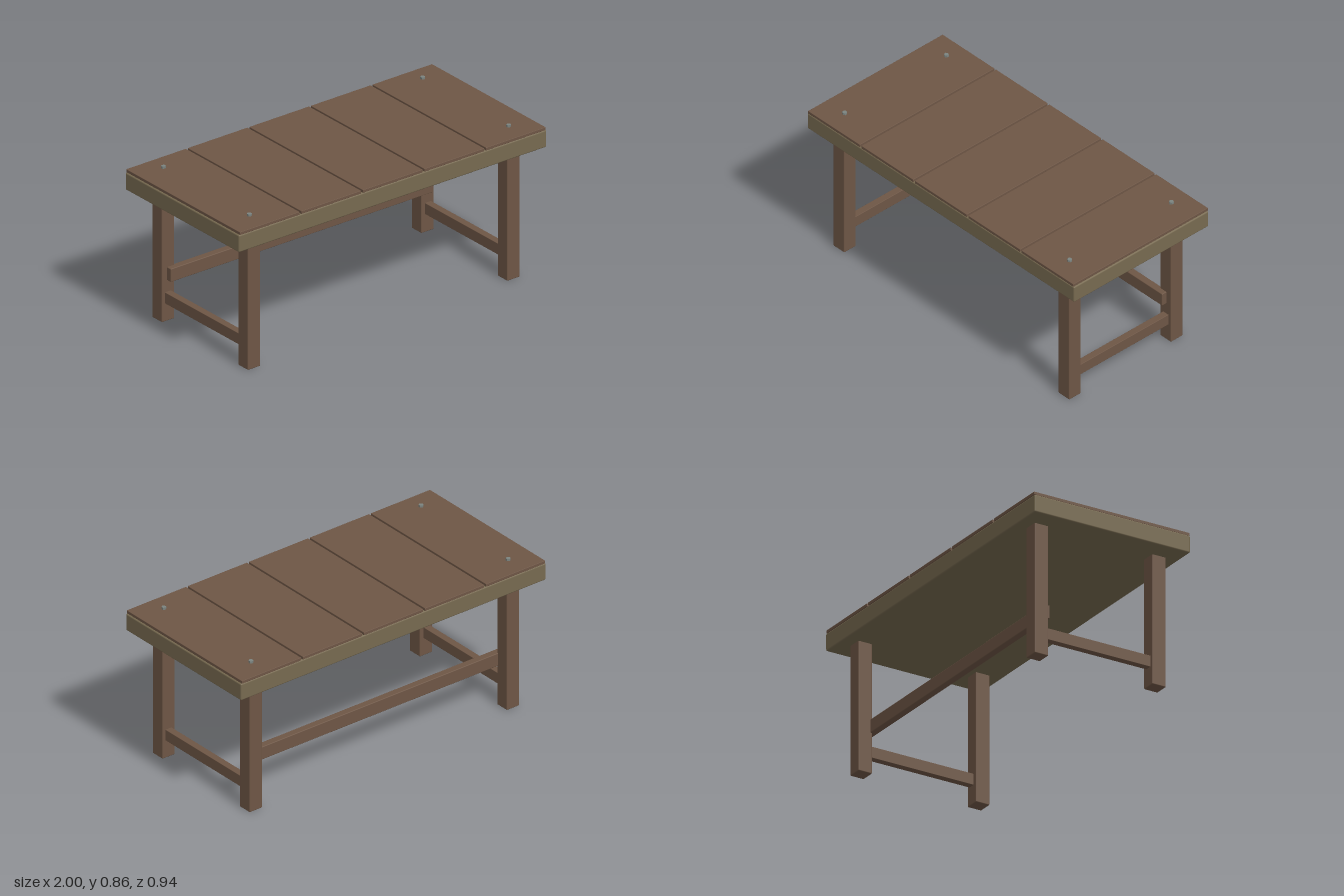
import * as THREE from 'three';
import { RoundedBoxGeometry } from 'three/addons/geometries/RoundedBoxGeometry.js';

const paint = (color) => new THREE.MeshStandardMaterial({ color });

export function createModel() {
  const table = new THREE.Group();
  table.name = 'table';
  const wood = paint(0x6e5645);
  const frameWood = paint(0x776a50);
  const metal = paint(0x7c8480);

  // Softly bevelled beam given by its min and max corners
  function beam(name, min, max, material, radius) {
    const size = max.map((v, i) => v - min[i]);
    const mesh = new THREE.Mesh(new RoundedBoxGeometry(...size, 2, radius), material);
    mesh.position.set(...min.map((v, i) => (v + max[i]) / 2));
    mesh.name = name;
    table.add(mesh);
  }

  // Solid slab under the planks
  beam('topFrame', [-1, 0.73, -0.47], [1, 0.828, 0.47], frameWood, 0.008);

  // Five planks with narrow gaps
  const pitch = 0.4, gap = 0.012;
  for (let i = 0; i < 5; i++) {
    const x = -1 + i * pitch;
    beam('plank', [x + gap / 2, 0.828, -0.47], [x + pitch - gap / 2, 0.845, 0.47], wood, 0.002);
  }

  for (const sx of [-1, 1]) {
    for (const sz of [-1, 1]) {
      // Square leg
      const x = sx * 0.843, z = sz * 0.355;
      beam('leg', [x - 0.041, 0, z - 0.041], [x + 0.041, 0.735, z + 0.041], wood, 0.005);

      // Hexagonal bolt head above the end plank
      const bolt = new THREE.Mesh(new THREE.CylinderGeometry(0.013, 0.013, 0.012, 6).toNonIndexed(), metal);
      bolt.geometry.computeVertexNormals();
      bolt.position.set(x, 0.857, z);
      bolt.name = 'bolt';
      table.add(bolt);
    }
    // Low rail joining the front and back legs
    const rx = sx * 0.845;
    beam('sideRail', [rx - 0.02, 0.103, -0.32], [rx + 0.02, 0.166, 0.32], wood, 0.002);
  }

  // Long rail across the inside of the back legs
  beam('backRail', [-0.85, 0.23, -0.325], [0.85, 0.305, -0.284], wood, 0.004);

  return table;
}
